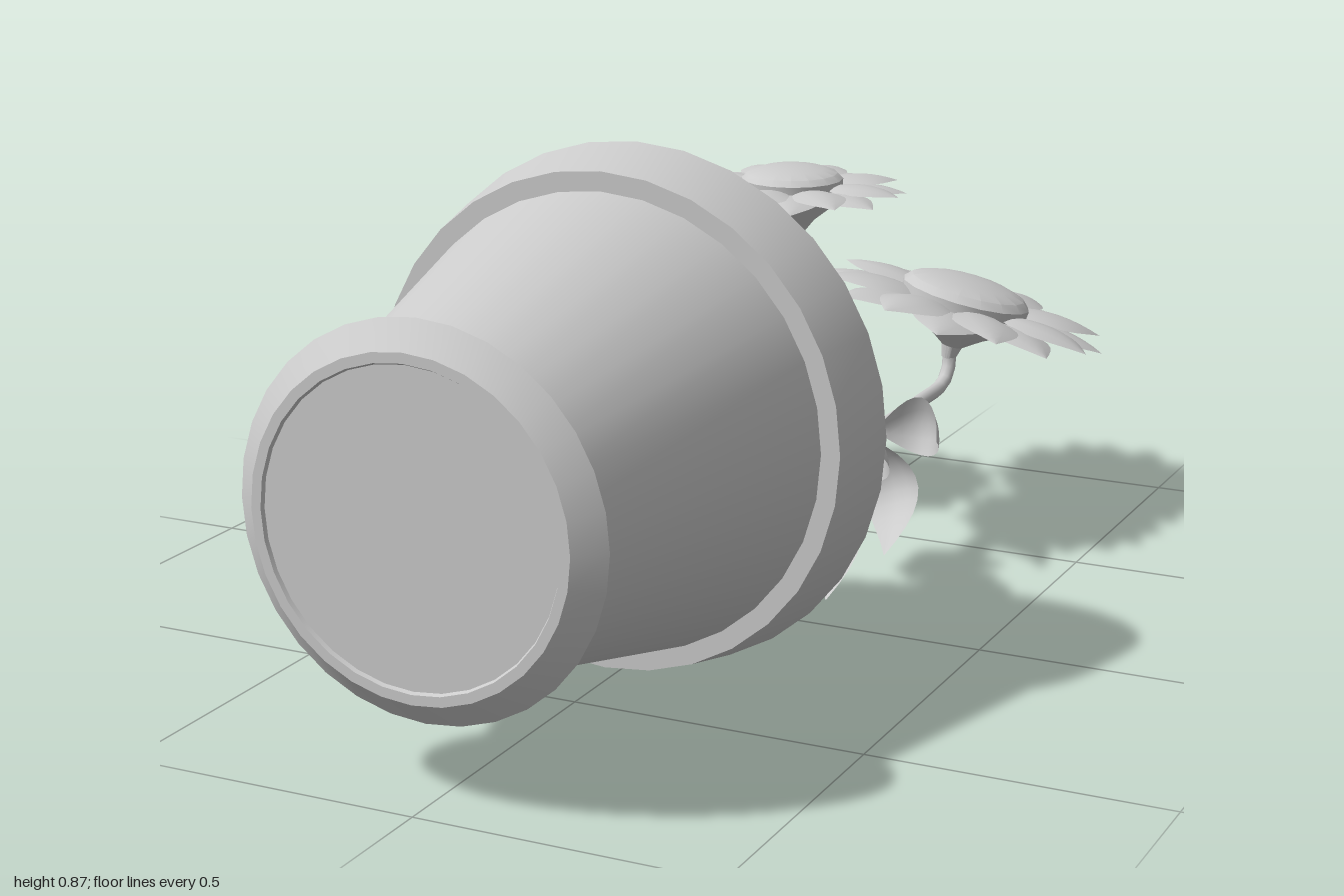
import * as THREE from 'three';
import { toCreasedNormals } from 'three/addons/utils/BufferGeometryUtils.js';

const solid = new THREE.MeshStandardMaterial({ color: 0xcccccc });
const thin = new THREE.MeshStandardMaterial({ color: 0xcccccc, side: THREE.DoubleSide });

function addMesh(parent, name, geometry, material = solid) {
  const mesh = new THREE.Mesh(geometry, material);
  mesh.name = name;
  parent.add(mesh);
  return mesh;
}

function lathe(points, segments = 32) {
  const profile = points.map(([r, y]) => new THREE.Vector2(r, y));
  return toCreasedNormals(new THREE.LatheGeometry(profile, segments), 0.5);
}

// Pointed blade along +y, bent in the y/z plane by a quadratic curve from the origin
function blade(width, mid, tip, fold, fullness) {
  const geo = new THREE.PlaneGeometry(1, 1, 4, 10);
  const curve = new THREE.QuadraticBezierCurve(
    new THREE.Vector2(0, 0), new THREE.Vector2(...mid), new THREE.Vector2(...tip));
  const pos = geo.attributes.position;
  for (let i = 0; i < pos.count; i++) {
    const s = pos.getX(i) * 2;
    const t = THREE.MathUtils.clamp(pos.getY(i) + 0.5, 0, 1);
    const p = curve.getPoint(t);
    const half = (width / 2) * Math.max(0, Math.sin(Math.PI * Math.pow(t, fullness)));
    pos.setXYZ(i, s * half, p.x, p.y - fold * half * s * s);
  }
  geo.computeVertexNormals();
  return geo;
}

// Flower head facing local +y
function makeFlower(R) {
  const flower = new THREE.Group();
  flower.name = 'flowerHead';
  const petal = blade(R * 0.47, [R * 0.4, R * 0.12], [R * 0.76, -R * 0.02], 0.2, 1);
  petal.rotateX(-Math.PI / 2);
  petal.translate(0, 0, -R * 0.25);
  const count = 16;
  for (let i = 0; i < count; i++) {
    const mesh = addMesh(flower, 'petal', petal, thin);
    mesh.rotation.y = (i / count) * Math.PI * 2;
    mesh.position.y = (i % 2) * -R * 0.04;
  }
  // domed seed disc
  addMesh(flower, 'seedDisc', lathe([[R * 0.44, -0.01], [R * 0.45, R * 0.07], [R * 0.4, R * 0.12],
    [R * 0.28, R * 0.16], [R * 0.14, R * 0.18], [0, R * 0.185]], 16));
  // funnel below the petals
  addMesh(flower, 'calyx', lathe([[0.013, -0.11], [0.02, -0.085], [R * 0.2, -0.06],
    [R * 0.36, -0.035], [R * 0.48, -0.005], [0, -0.005]], 20));
  return flower;
}

// Arching leaf growing from a stem, reaching (dx, dz) sideways
function addLeaf(parent, x, z, [h, dx, dz]) {
  const reach = Math.hypot(dx, dz);
  const geo = blade(0.11, [reach * 0.65, 0.13], [reach, -0.08], 0.35, 0.9);
  const along = new THREE.Vector3(dx, 0, dz).normalize();
  const up = new THREE.Vector3(0, 1, 0);
  const across = new THREE.Vector3().crossVectors(along, up);
  const leaf = addMesh(parent, 'leaf', geo, thin);
  leaf.quaternion.setFromRotationMatrix(new THREE.Matrix4().makeBasis(across, along, up));
  leaf.position.set(x, h, z);
}

// Each plant: stem foot, flower centre, facing, radius and leaves [height, dx, dz]
const plants = [
  { x: 0.015, z: 0.13, head: [0.018, 1.29, 0.26], face: [0, 0, 1], R: 0.2,
    leaves: [[0.96, -0.1, 0.2], [0.98, -0.12, 0.05], [0.98, 0.08, -0.09],
      [0.75, -0.14, -0.05], [0.73, 0.11, -0.06]] },
  { x: -0.214, z: -0.17, head: [-0.24, 1.54, -0.03], face: [-0.2, -0.12, 1], R: 0.22,
    leaves: [[1.22, -0.03, 0.13], [1.2, -0.18, -0.09], [1.0, -0.02, 0.13], [1.0, -0.17, -0.1],
      [1.0, 0.1, -0.03], [0.78, -0.17, 0.06], [0.78, 0.1, 0.08], [0.76, -0.06, -0.17]] },
  { x: 0.158, z: -0.19, head: [0.18, 1.73, -0.035], face: [0.22, 0.13, 1], R: 0.275,
    leaves: [[1.35, 0.15, 0.02], [1.31, 0.07, -0.19], [1.1, 0.15, 0.06], [1.05, 0.07, -0.19],
      [0.86, 0.14, 0.03], [0.83, 0.06, -0.19], [0.8, -0.04, 0.14]] },
];

export function createModel() {
  const model = new THREE.Group();
  model.name = 'pottedFlowers';

  // The upright plant is laid on its side: its up axis points to the back
  const plant = new THREE.Group();
  plant.name = 'layingPot';
  plant.rotation.x = -Math.PI / 2;
  plant.position.set(0.004, 0.44, 1);
  model.add(plant);

  addMesh(plant, 'saucer', lathe([[0, 0.006], [0.243, 0.006], [0.246, 0], [0.262, 0],
    [0.304, 0.038], [0.295, 0.042], [0.25, 0.03], [0, 0.03]]));
  addMesh(plant, 'pot', lathe([[0.24, 0.025], [0.378, 0.597], [0.41, 0.597],
    [0.436, 0.72], [0.405, 0.72], [0.392, 0.63]]));
  addMesh(plant, 'soil', lathe([[0.398, 0.645], [0.3, 0.655], [0.15, 0.66], [0, 0.662]]));

  for (const { x, z, head, face, R, leaves } of plants) {
    const group = new THREE.Group();
    group.name = 'flowerPlant';
    plant.add(group);

    const normal = new THREE.Vector3(...face).normalize();
    const centre = new THREE.Vector3(...head);
    const neck = centre.clone().addScaledVector(normal, -0.1);

    // straight stem with a bend up into the flower
    const path = new THREE.CurvePath();
    const foot = new THREE.Vector3(x, 0.63, z);
    const bend = new THREE.Vector3(x, head[1] - 0.09, z);
    path.add(new THREE.LineCurve3(foot, bend));
    path.add(new THREE.QuadraticBezierCurve3(bend, new THREE.Vector3(neck.x, head[1] - 0.01, z), neck));
    addMesh(group, 'stem', new THREE.TubeGeometry(path, 40, 0.013, 10), thin);

    const flower = makeFlower(R);
    flower.position.copy(centre);
    flower.quaternion.setFromUnitVectors(new THREE.Vector3(0, 1, 0), normal);
    group.add(flower);

    for (const leaf of leaves) addLeaf(group, x, z, leaf);
  }
  return model;
}
